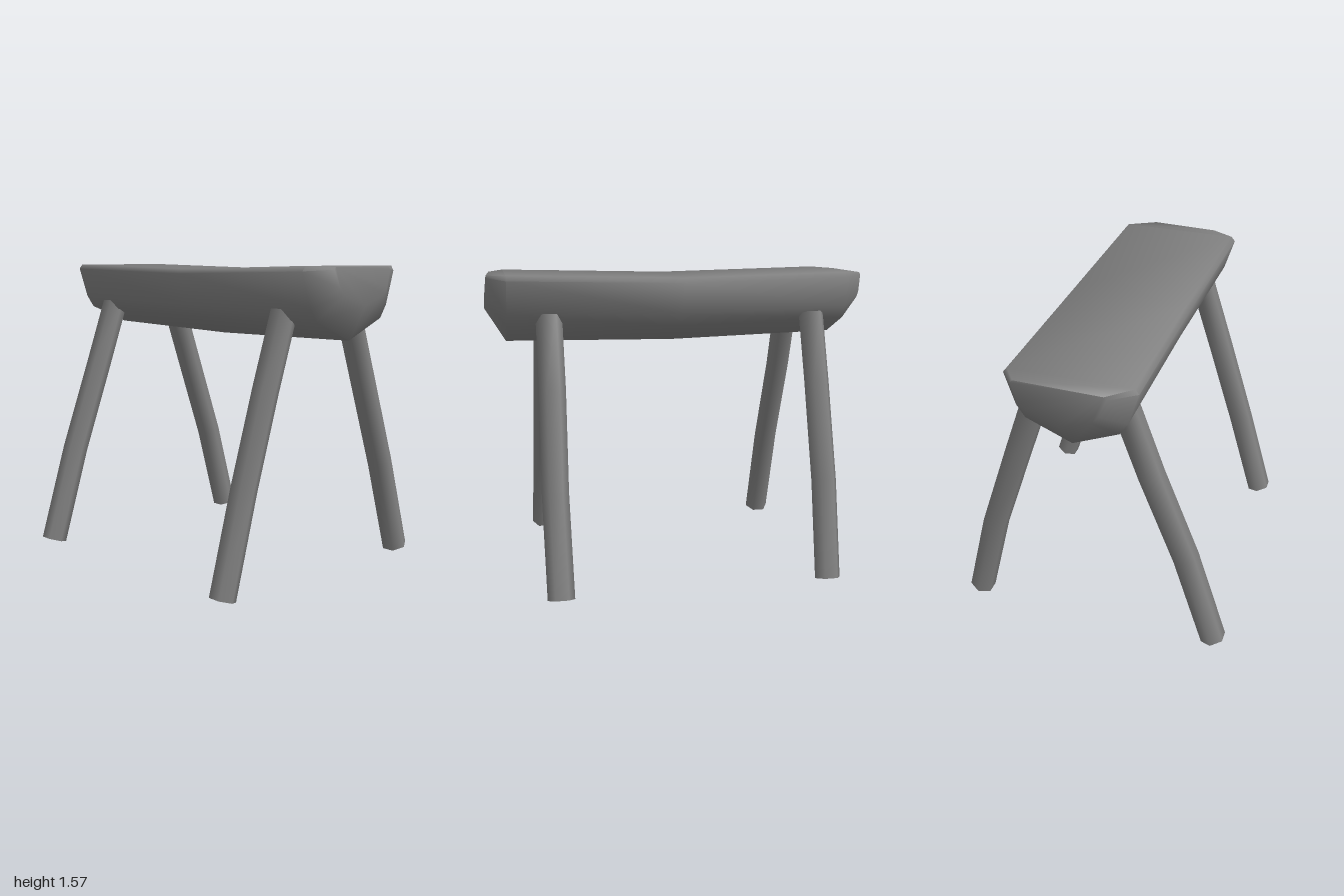
import * as THREE from 'three';
import { toCreasedNormals } from 'three/addons/utils/BufferGeometryUtils.js';

// Half of the log's cross-section: [fraction of half width, fraction of height]
const HALF = [[0.94, 1], [1, 0.93], [0.84, 0.46], [0.71, 0.28]];
const PROFILE = [...HALF, [0, 0], ...HALF.map(([s, t]) => [-s, t]).reverse()];

// Stations along the log: x, back z, front z, top, bottom, lean of the end in x, skew in x
const STATIONS = [
  [-0.98, -0.24, 0.21, 1.565, 1.38, -0.015, -0.005],
  [-0.89, -0.31, 0.325, 1.57, 1.23, 0, 0],
  [0, -0.335, 0.31, 1.55, 1.205, 0, 0],
  [0.885, -0.33, 0.33, 1.57, 1.215, 0, 0],
  [0.97, -0.18, 0.2, 1.565, 1.385, 0.02, -0.01],
];

function logGeometry() {
  const n = PROFILE.length;
  const pos = [], index = [];
  for (const [x, back, front, top, bottom, lean, skew] of STATIONS) {
    const mid = (back + front) / 2, half = (front - back) / 2;
    for (const [s, t] of PROFILE) {
      pos.push(x + lean * (1 - t) + skew * s, bottom + (top - bottom) * t, mid + half * s);
    }
  }
  // Skin between neighbouring stations
  for (let i = 0; i < STATIONS.length - 1; i++) {
    for (let j = 0; j < n; j++) {
      const a = i * n + j, b = i * n + (j + 1) % n;
      index.push(a, b, b + n, a, b + n, a + n);
    }
  }
  // End caps
  const last = (STATIONS.length - 1) * n;
  for (let j = 1; j < n - 1; j++) {
    index.push(0, j + 1, j, last, last + j, last + j + 1);
  }
  const g = new THREE.BufferGeometry();
  g.setAttribute('position', new THREE.Float32BufferAttribute(pos, 3));
  g.setIndex(index);
  return toCreasedNormals(g, 1.15);
}

// Six-sided pole bent along the given points, listed from top to bottom
function legGeometry(points, radius) {
  const path = points.map(p => new THREE.Vector3(...p));
  const rows = path.length - 1;
  const g = new THREE.CylinderGeometry(radius, radius, 1, 6, rows, false, Math.PI / 2);
  const p = g.attributes.position;
  const side = new THREE.Vector3(1, 0, 0);
  for (let i = 0; i < p.count; i++) {
    const row = Math.round((0.5 - p.getY(i)) * rows);
    const dir = path[Math.max(row - 1, 0)].clone().sub(path[Math.min(row + 1, rows)]).normalize();
    const across = new THREE.Vector3().crossVectors(side, dir).normalize();
    const v = path[row].clone().addScaledVector(side, p.getX(i)).addScaledVector(across, p.getZ(i));
    p.setXYZ(i, v.x, v.y, v.z);
  }
  return toCreasedNormals(g, 1.15);
}

const LEGS = {
  frontRightLeg: [[-0.71, 1.35, 0.205], [-0.71, 1.0, 0.33], [-0.7, 0.53, 0.51], [-0.695, 0.025, 0.67]],
  backRightLeg: [[-0.71, 1.35, -0.23], [-0.71, 1.0, -0.35], [-0.705, 0.51, -0.515], [-0.695, 0.025, -0.64]],
  frontLeftLeg: [[0.66, 1.36, 0.21], [0.66, 0.98, 0.335], [0.665, 0.52, 0.48], [0.675, 0.02, 0.625]],
  backLeftLeg: [[0.675, 1.36, -0.235], [0.675, 1.0, -0.36], [0.685, 0.52, -0.515], [0.68, 0.025, -0.67]],
};

export function createModel() {
  const group = new THREE.Group();
  group.name = 'logBench';
  const wood = new THREE.MeshStandardMaterial({ color: 0x808080 });
  wood.name = 'plain grey';

  const add = (name, geometry) => {
    const mesh = new THREE.Mesh(geometry, wood);
    mesh.name = name;
    group.add(mesh);
  };
  add('logSeat', logGeometry());
  for (const [name, points] of Object.entries(LEGS)) add(name, legGeometry(points, 0.067));
  return group;
}
